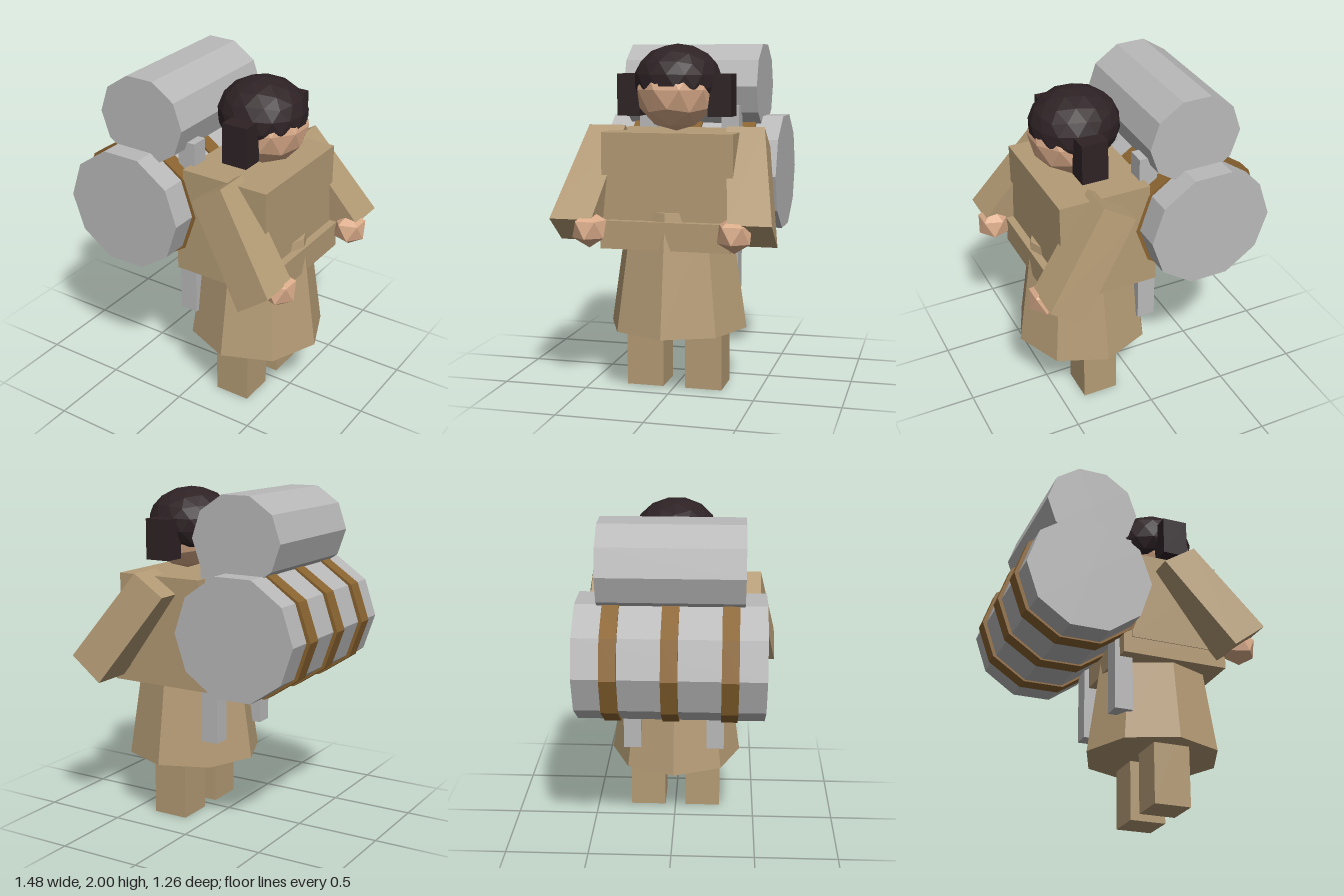
import * as THREE from 'three';

const paint = (name, color) => {
  const m = new THREE.MeshStandardMaterial({ color, flatShading: true });
  m.name = name;
  return m;
};

export function createModel() {
  const cloth = paint('tan cloth', 0xb49b75);
  const grey = paint('grey bundle', 0xb9b9b9);
  const skin = paint('skin', 0xdbac8a);
  const hairDark = paint('dark hair', 0x2e2225);
  const leather = paint('brown leather', 0x8a6430);

  const group = new THREE.Group();
  const add = (name, geometry, material, x = 0, y = 0, z = 0) => {
    const mesh = new THREE.Mesh(geometry, material);
    mesh.name = name;
    mesh.position.set(x, y, z);
    group.add(mesh);
    return mesh;
  };

  // Box given by its minimum and maximum on each axis
  const box = (name, material, x0, x1, y0, y1, z0, z1) =>
    add(name, new THREE.BoxGeometry(x1 - x0, y1 - y0, z1 - z0), material,
      (x0 + x1) / 2, (y0 + y1) / 2, (z0 + z1) / 2);

  // Faceted ball with a corner at the top and bottom
  const ball = (name, material, detail, x, y, z, rx, ry, rz) =>
    add(name, new THREE.IcosahedronGeometry(1, detail).rotateZ(0.5536).scale(rx, ry, rz),
      material, x, y, z);

  // Ten-sided roll lying along z
  const roll = (name, material, x, y, z, rx, ry, length) =>
    add(name, new THREE.CylinderGeometry(1, 1, length, 10)
      .rotateY(Math.PI / 2).rotateX(Math.PI / 2).scale(rx, ry, 1), material, x, y, z);

  // Slanted, slightly splayed sleeve: each box corner moved to its place
  const sleeve = (side) => {
    const g = new THREE.BoxGeometry(1, 1, 1);
    const p = g.attributes.position;
    for (let i = 0; i < p.count; i++) {
      const upper = p.getX(i) > 0, shoulder = p.getY(i) > 0;
      const outer = p.getZ(i) * side > 0;
      const [x, y] = shoulder
        ? (upper ? [0.32, 1.535] : [0.13, 1.41])
        : (upper ? [0.70, 1.03] : [0.51, 0.885]);
      const z = shoulder ? (outer ? 0.518 : 0.30) : (outer ? 0.63 : 0.385);
      p.setXYZ(i, x, y, z * side);
    }
    g.computeVertexNormals();
    return g;
  };

  // Robe
  box('torso', cloth, -0.025, 0.525, 0.95, 1.505, -0.38, 0.38);
  box('waistBand', cloth, -0.075, 0.572, 0.85, 1.01, -0.375, 0.375);
  add('skirt', new THREE.CylinderGeometry(0.306, 0.41, 0.70, 8), cloth, 0.25, 0.71, 0);

  // Head and hair cap
  ball('head', skin, 1, 0.295, 1.742, 0, 0.237, 0.237, 0.237);
  ball('hair', hairDark, 2, 0.263, 1.79, 0, 0.262, 0.21, 0.253);

  // Paired parts
  for (const side of [1, -1]) {
    const pair = (name, material, x0, x1, y0, y1, z0, z1) =>
      box(name, material, x0, x1, y0, y1, Math.min(z0 * side, z1 * side), Math.max(z0 * side, z1 * side));
    const label = side > 0 ? 'positiveSide' : 'negativeSide';
    pair(label + 'Leg', cloth, 0.14, 0.36, 0, 0.6, 0.065, 0.285);
    pair(label + 'HairLock', hairDark, 0.21, 0.365, 1.59, 1.83, 0.2, 0.333);
    pair(label + 'PackPost', grey, -0.105, 0.005, 0.525, 1.64, 0.2, 0.307);
    add(label + 'Arm', sleeve(side), cloth);
    ball(label + 'Hand', skin, 0, 0.64, 0.972, 0.415 * side, 0.107, 0.107, 0.107);
  }

  // Rolls carried on the back, with straps round the lower one
  roll('upperRoll', grey, -0.288, 1.75, 0, 0.282, 0.263, 0.82);
  roll('lowerRoll', grey, -0.343, 1.222, 0, 0.378, 0.362, 1.07);
  for (const z of [-0.333, 0, 0.333]) {
    roll('strap', leather, -0.343, 1.222, z, 0.402, 0.372, 0.095);
  }

  return group;
}
